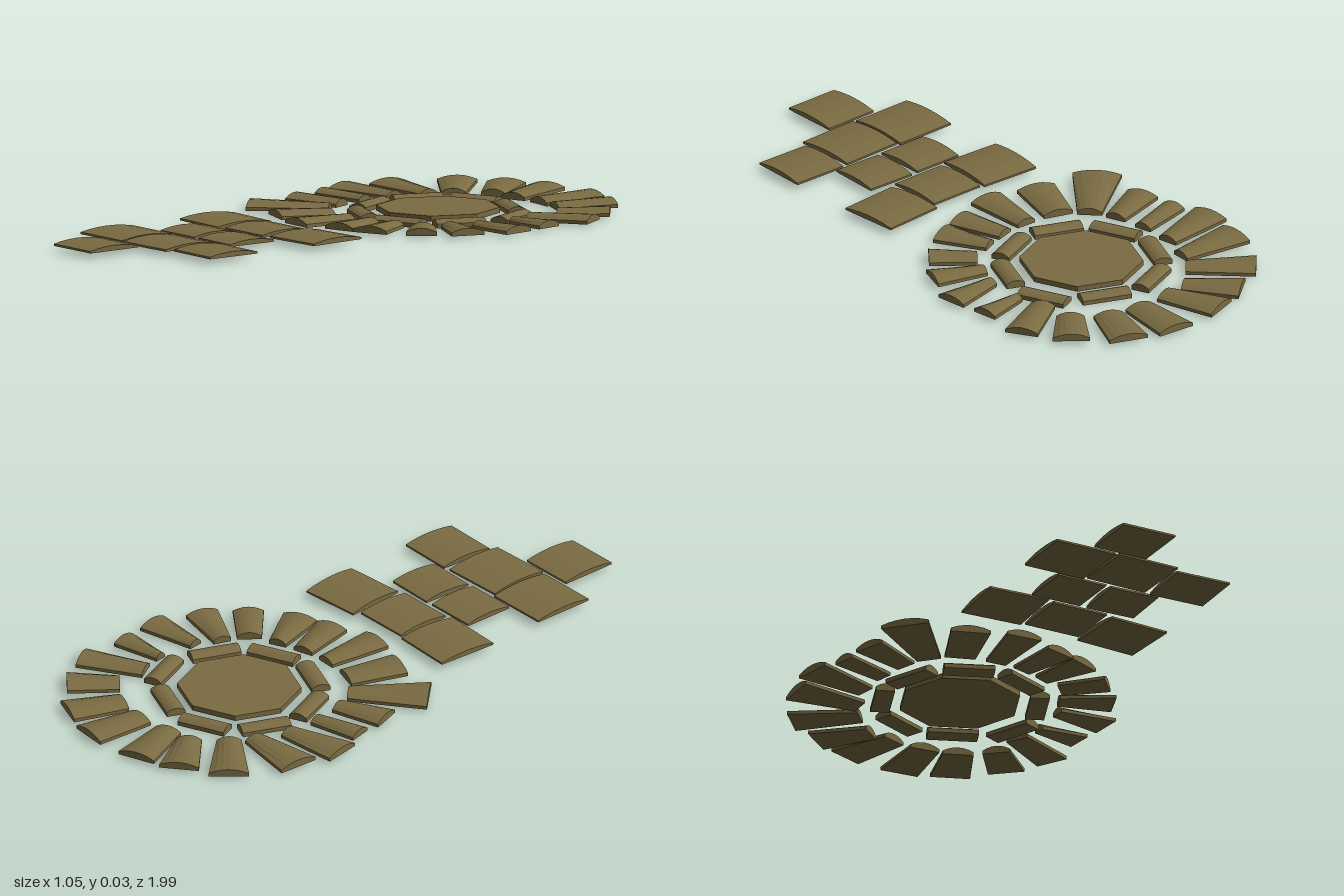
import * as THREE from 'three';

const stone = new THREE.MeshStandardMaterial({ color: 0x7a6b42, flatShading: true });

// Unit cross-section: flat base, short sides and a shallow faceted arch
function archedSection(edge, facets = 6) {
  const s = new THREE.Shape();
  s.moveTo(-0.5, 0);
  s.lineTo(0.5, 0);
  for (let i = 0; i <= facets; i++) {
    const x = 0.5 - i / facets;
    s.lineTo(x, edge + (1 - edge) * (1 - 4 * x * x));
  }
  s.closePath();
  return s;
}

// Arched stone running from point a to point b, tapering from width wa to wb
function archedStone(name, [ax, az], [bx, bz], wa, wb, { base, height, edge, lift = 0 }) {
  const geo = new THREE.ExtrudeGeometry(archedSection(edge), { depth: 1, bevelEnabled: false });
  const length = Math.hypot(bx - ax, bz - az);
  const p = geo.attributes.position;
  for (let i = 0; i < p.count; i++) {
    const t = p.getZ(i);
    p.setXYZ(i, p.getX(i) * THREE.MathUtils.lerp(wa, wb, t), p.getY(i) * height + lift * t, t * length);
  }
  geo.computeVertexNormals();
  const mesh = new THREE.Mesh(geo, stone);
  mesh.name = name;
  mesh.position.set(ax, base, az);
  mesh.rotation.y = Math.atan2(bx - ax, bz - az);
  return mesh;
}

// Arched stone given by its middle, length, width and turn in the ground plane
function centredStone(name, x, z, length, width, angle, style) {
  const dx = Math.cos(angle) * length / 2, dz = Math.sin(angle) * length / 2;
  return archedStone(name, [x - dx, z - dz], [x + dx, z + dz], width, width, style);
}

export function createModel() {
  const model = new THREE.Group();
  model.name = 'stonePaving';
  const cx = 0.02, cz = -0.425;

  // Octagonal centre slab
  const slab = new THREE.Mesh(new THREE.CylinderGeometry(0.2, 0.2, 0.018, 8), stone);
  slab.name = 'centreSlab';
  slab.position.set(cx, 0.019, cz);
  model.add(slab);

  // Inner ring of eight bricks, one per side of the slab
  const innerRing = new THREE.Group();
  innerRing.name = 'innerRing';
  [0.25, 0.25, 0.25, 0.25, 0.25, 0.25, 0.25, 0.27].forEach((r, i) => {
    const a = (i + 0.5) * Math.PI / 4;
    innerRing.add(centredStone('innerBrick', cx + r * Math.cos(a), cz + r * Math.sin(a), 0.165, 0.062,
      a + Math.PI / 2 , { base: 0.003, height: 0.026, edge: 0.55 }));
  });
  innerRing.children[6].position.z += 0.01;
  model.add(innerRing);

  // Outer ring of tapered stones: inner x, z, outer x, z, inner width, outer width
  const outerRing = new THREE.Group();
  outerRing.name = 'outerRing';
  [
    [0.09, -0.78, 0.11, -0.99, 0.10, 0.13],
    [0.20, -0.76, 0.27, -0.94, 0.10, 0.13],
    [0.30, -0.69, 0.41, -0.82, 0.09, 0.12],
    [0.31, -0.57, 0.50, -0.68, 0.08, 0.11],
    [0.34, -0.48, 0.50, -0.50, 0.04, 0.09],
    [0.33, -0.34, 0.52, -0.36, 0.05, 0.11],
    [0.29, -0.26, 0.46, -0.20, 0.06, 0.11],
    [0.25, -0.18, 0.37, -0.08, 0.08, 0.10],
    [0.16, -0.14, 0.23, 0.02, 0.06, 0.12],
    [0.07, -0.11, 0.12, 0.06, 0.07, 0.11],
    [-0.03, -0.10, -0.04, 0.11, 0.07, 0.12],
    [-0.15, -0.12, -0.21, 0.06, 0.10, 0.13],
    [-0.23, -0.18, -0.42, 0.00, 0.08, 0.16],
    [-0.27, -0.26, -0.44, -0.20, 0.07, 0.11],
    [-0.29, -0.37, -0.46, -0.33, 0.06, 0.08],
    [-0.29, -0.49, -0.51, -0.45, 0.07, 0.13],
    [-0.25, -0.60, -0.48, -0.61, 0.07, 0.14],
    [-0.21, -0.67, -0.38, -0.82, 0.08, 0.13],
    [-0.12, -0.76, -0.24, -0.91, 0.08, 0.13],
    [-0.03, -0.77, -0.10, -0.97, 0.09, 0.13],
  ].forEach(([ix, iz, ox, oz, wi, wo]) => {
    outerRing.add(archedStone('outerStone', [ix, iz], [ox, oz], wi, wo,
      { base: 0.006, height: 0.025, edge: 0.45, lift: 0.006 }));
  });
  model.add(outerRing);

  // Path tiles: x, z, width, depth, turn in degrees
  const path = new THREE.Group();
  path.name = 'path';
  [
    [-0.20, 0.27, 0.21, 0.21, 3],
    [0.02, 0.275, 0.195, 0.19, 0],
    [0.24, 0.25, 0.21, 0.205, -4],
    [-0.08, 0.475, 0.175, 0.175, 0],
    [0.115, 0.475, 0.17, 0.175, 2],
    [-0.19, 0.68, 0.215, 0.215, 0],
    [0.035, 0.685, 0.215, 0.21, -1.5],
    [0.255, 0.67, 0.19, 0.19, 1.5],
    [-0.075, 0.90, 0.19, 0.195, 0],
  ].forEach(([x, z, w, d, turn]) => {
    path.add(centredStone('pathTile', x, z, w, d, THREE.MathUtils.degToRad(turn),
      { base: 0.02, height: 0.017, edge: 0.4 }));
  });
  model.add(path);

  return model;
}
